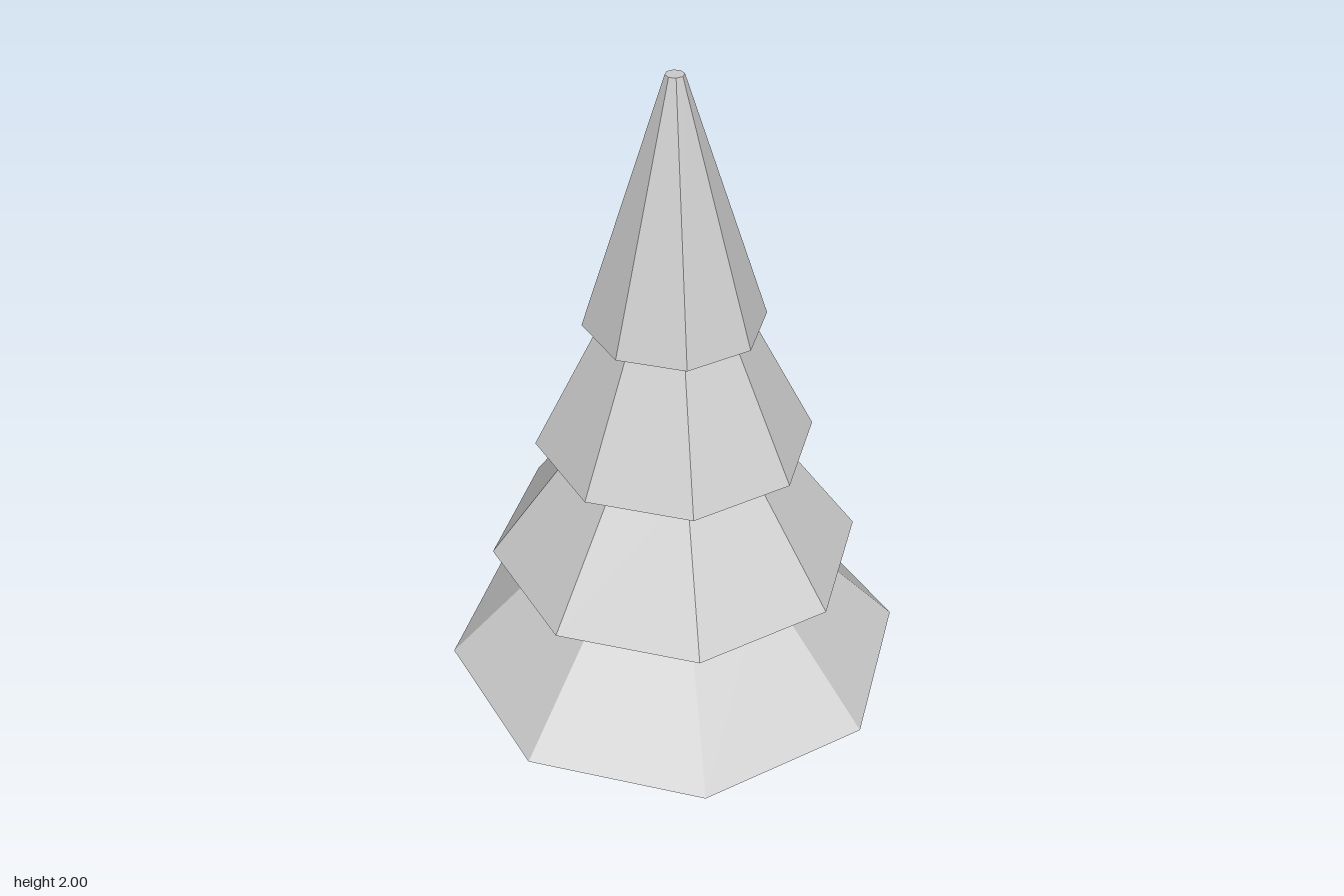
import * as THREE from 'three';

export function createModel() {
  const tree = new THREE.Group();
  tree.name = 'pineTree';
  const grey = new THREE.MeshStandardMaterial({ color: 0xcccccc, flatShading: true });
  grey.name = 'plain grey';

  const add = (name, geometry) => {
    const mesh = new THREE.Mesh(geometry, grey);
    mesh.name = name;
    tree.add(mesh);
    return mesh;
  };

  // Eight-sided tapered section standing between two heights
  const section = (name, y0, y1, rBottom, rTop) => {
    const mesh = add(name, new THREE.CylinderGeometry(rTop, rBottom, y1 - y0, 8));
    mesh.position.y = (y0 + y1) / 2;
  };

  section('trunk', 0, 0.3, 0.1, 0.085);

  // Foliage tiers, from the lowest up: bottom y, top y, bottom radius, top radius
  [
    [0.3, 0.65, 0.62, 0.295],
    [0.65, 1.0, 0.49, 0.24],
    [1.0, 1.35, 0.36, 0.185],
    [1.35, 2.0, 0.23, 0.023],
  ].forEach((t, i) => section(`foliageTier${i + 1}`, ...t));

  // Short square branch stubs sloping down from both sides of the trunk
  const angle = 0.72, length = 0.2;
  for (const side of [1, -1]) {
    const stub = add(side > 0 ? 'leftBranch' : 'rightBranch', new THREE.BoxGeometry(length, 0.057, 0.062));
    stub.position.set(
      side * (0.198 - Math.cos(angle) * length / 2),
      0.053 + Math.sin(angle) * length / 2,
      0
    );
    stub.rotation.z = -side * angle;
  }

  return tree;
}
